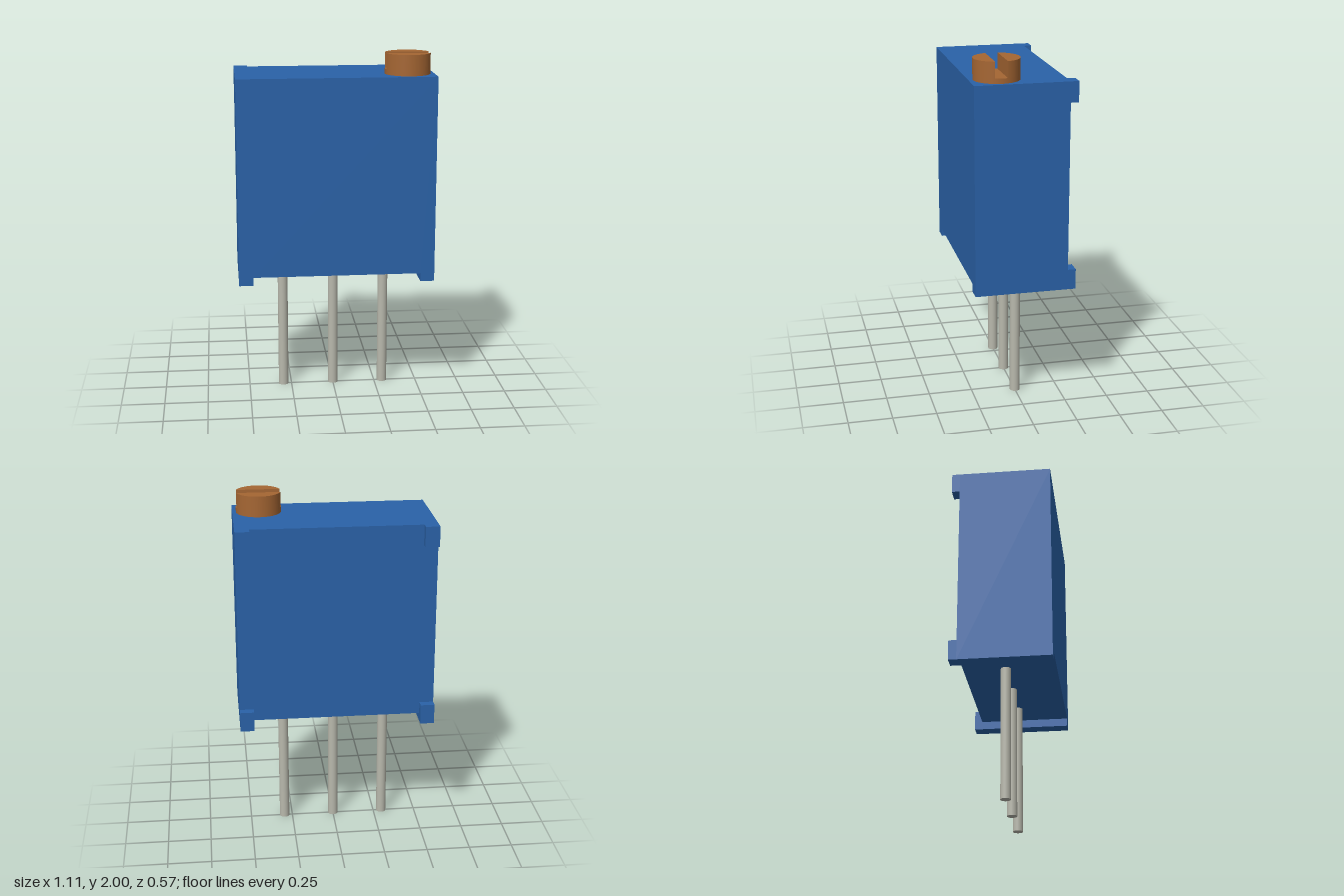
import * as THREE from 'three';

const material = (color) => new THREE.MeshStandardMaterial({ color });

export function createModel() {
  const model = new THREE.Group();
  const blue = material(0x2a62a8);
  const copper = material(0xa56633);
  const metal = material(0xb8b8ac);

  const add = (name, geometry, mat, x = 0, y = 0, z = 0, parent = model) => {
    const mesh = new THREE.Mesh(geometry, mat);
    mesh.name = name;
    mesh.position.set(x, y, z);
    parent.add(mesh);
    return mesh;
  };

  // Main dimensions
  const W = 0.557, inner = 0.477;
  const bottom = 0.71, recess = 0.757, top = 1.883;
  const front = 0.283, backFace = -0.238, back = -0.283;

  // Housing: block with a rail along each lower side
  const profile = new THREE.Shape([
    [-W, bottom], [-inner, bottom], [-inner, recess], [inner, recess],
    [inner, bottom], [W, bottom], [W, top], [-W, top],
  ].map(([x, y]) => new THREE.Vector2(x, y)));
  add('housing', new THREE.ExtrudeGeometry(profile, { depth: front - backFace, bevelEnabled: false }),
    blue, 0, 0, backFace);

  // Four stand-off feet at the back corners
  const footH = 0.115;
  const footGeo = new THREE.BoxGeometry(W - inner, footH, backFace - back);
  for (const side of [-1, 1]) {
    for (const y of [bottom + footH / 2, top - footH / 2]) {
      add('standoffFoot', footGeo, blue, side * (W + inner) / 2, y, (back + backFace) / 2);
    }
  }

  // Adjusting screw: base disc and two half-round lips beside the slot
  const screw = new THREE.Group();
  screw.name = 'adjustingScrew';
  screw.position.set(0.408, top, 0.131);
  model.add(screw);
  const r = 0.128, slotFloor = 0.028, screwH = 2 - top;
  add('screwBase', new THREE.CylinderGeometry(r, r, slotFloor, 48), copper, 0, slotFloor / 2, 0, screw);
  const a = Math.asin(0.034 / r);
  const lip = new THREE.Shape().absarc(0, 0, r, a, Math.PI - a, false);
  lip.closePath();
  const lipGeo = new THREE.ExtrudeGeometry(lip, {
    depth: screwH - slotFloor, bevelEnabled: false, curveSegments: 24,
  }).rotateX(-Math.PI / 2);
  for (const turn of [0, Math.PI]) {
    add('screwLip', lipGeo, copper, 0, slotFloor, 0, screw).rotation.y = turn;
  }

  // Three round lead pins
  const pinGeo = new THREE.CylinderGeometry(0.029, 0.029, recess, 24);
  for (const x of [-0.297, 0, 0.297]) add('leadPin', pinGeo, metal, x, recess / 2, 0);

  return model;
}
